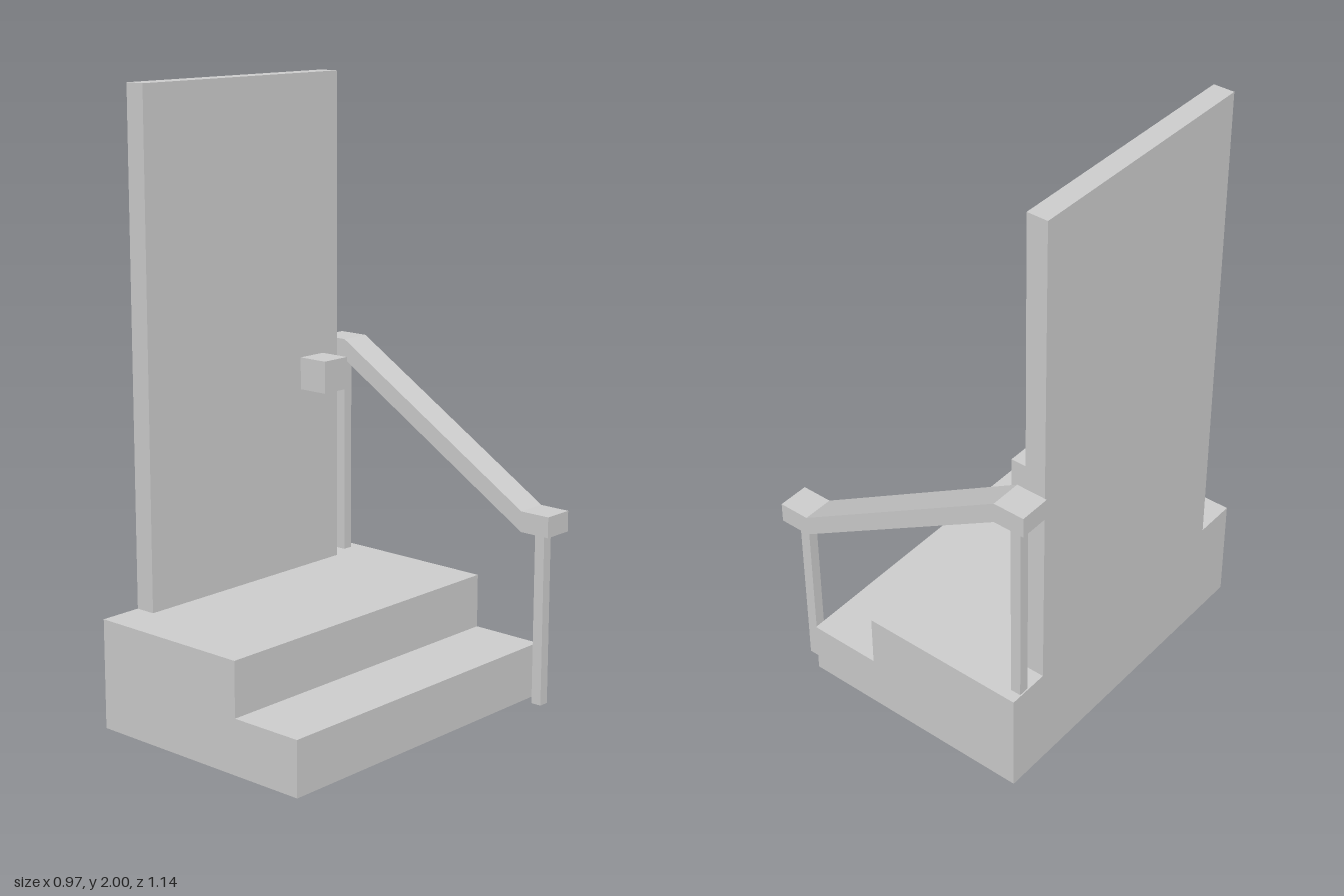
import * as THREE from 'three';

const material = new THREE.MeshStandardMaterial({ color: 0xcccccc, flatShading: true });

// Box given by its lower and upper limits on each axis
function box(name, [x0, x1], [y0, y1], [z0, z1]) {
  const mesh = new THREE.Mesh(new THREE.BoxGeometry(x1 - x0, y1 - y0, z1 - z0), material);
  mesh.position.set((x0 + x1) / 2, (y0 + y1) / 2, (z0 + z1) / 2);
  mesh.name = name;
  return mesh;
}

// Side outline in x and y, extruded from z0 to z1
function extruded(name, points, [z0, z1]) {
  const shape = new THREE.Shape(points.map(([x, y]) => new THREE.Vector2(x, y)));
  const geometry = new THREE.ExtrudeGeometry(shape, { depth: z1 - z0, bevelEnabled: false });
  geometry.translate(0, 0, z0);
  const mesh = new THREE.Mesh(geometry, material);
  mesh.name = name;
  return mesh;
}

export function createModel() {
  const model = new THREE.Group();
  model.name = 'doorWithSteps';

  // Two solid steps
  model.add(extruded('steps', [
    [-0.448, 0], [0.373, 0], [0.373, 0.179], [0.123, 0.179], [0.123, 0.358], [-0.448, 0.358],
  ], [-0.572, 0.572]));

  // Door and its square knob
  model.add(box('door', [-0.448, -0.378], [0.358, 2], [-0.429, 0.429]));
  model.add(box('doorKnob', [-0.378, -0.27], [0.967, 1.074], [-0.358, -0.251]));

  // Handrail: sloping bar with a level end at top and bottom
  const top = [[-0.483, 1.105], [-0.377, 1.105], [0.377, 0.645], [0.483, 0.645]];
  const bottom = top.map(([x, y]) => [x, y - 0.068]).reverse();
  model.add(extruded('handrail', [...bottom, ...top], [-0.572, -0.466]));

  // Posts under the level ends, on the upper step and on the ground
  for (const [name, x, y0, y1] of [['upperPost', -0.426, 0.358, 1.037], ['lowerPost', 0.426, 0, 0.577]]) {
    model.add(box(name, [x - 0.018, x + 0.018], [y0, y1], [-0.535, -0.5]));
  }
  return model;
}
